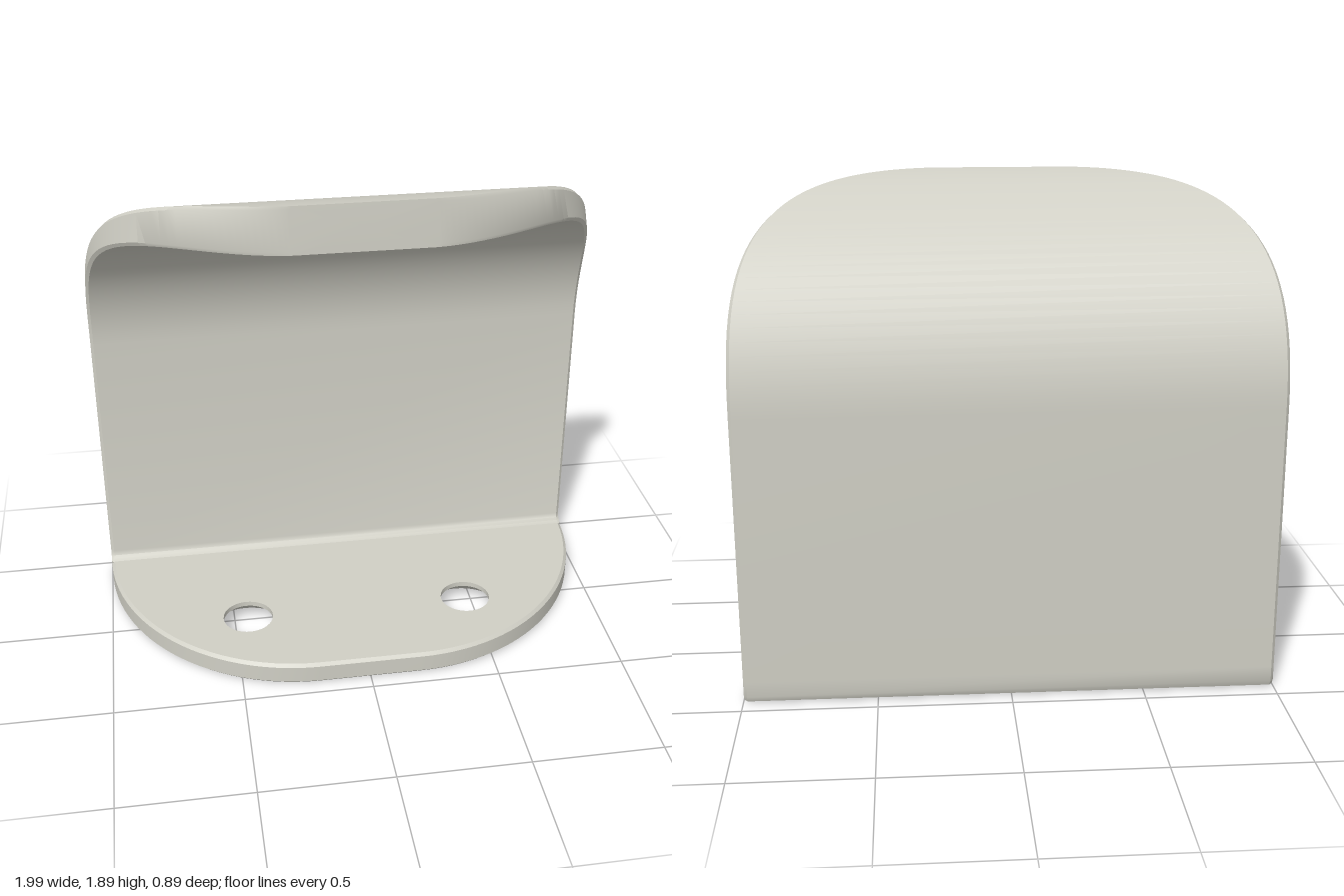
import * as THREE from 'three';
import { toCreasedNormals, mergeGeometries } from 'three/addons/utils/BufferGeometryUtils.js';

const BEVEL = 0.012;
const DEG = Math.PI / 180;

// Surface through rows of [x, y, z] points, with hard edges kept sharp
function loft(rows, closed) {
  const n = rows[0].length, index = [];
  for (let i = 0; i < rows.length - 1; i++) {
    for (let j = 0; j < (closed ? n : n - 1); j++) {
      const k = (j + 1) % n;
      const a = i * n + j, b = i * n + k, c = b + n, d = a + n;
      index.push(a, b, c, a, c, d);
    }
  }
  const g = new THREE.BufferGeometry();
  g.setAttribute('position', new THREE.Float32BufferAttribute(rows.flat(2), 3));
  g.setIndex(index);
  return toCreasedNormals(g, 0.6);
}

// Bevelled cross-section between inner and outer [z, y] points
function ring({ inner, outer, w }) {
  const f = Math.min(0.4, BEVEL / Math.hypot(outer[0] - inner[0], outer[1] - inner[1]));
  const s = w - BEVEL;
  return [[-s, 0], [s, 0], [w, f], [w, 1 - f], [s, 1], [-s, 1], [-w, 1 - f], [-w, f]].map(([x, t]) => [
    x,
    inner[1] + (outer[1] - inner[1]) * t,
    inner[0] + (outer[0] - inner[0]) * t,
  ]);
}

// Row collapsed to its centre, closing the end of a loft
function capRow(row) {
  const c = [0, 1, 2].map((k) => row.reduce((sum, p) => sum + p[k], 0) / row.length);
  return row.map(() => c);
}

// Upright back that thickens and curls forward into the hood
function backGeometry() {
  const stations = [
    { outer: [-0.42, 0], inner: [-0.4, 0], w: 0.99 },
    { outer: [-0.441, 0.009], inner: [-0.4, 0.009], w: 0.995 },
    { outer: [-0.45, 0.03], inner: [-0.4, 0.03], w: 0.997 },
    { outer: [-0.45, 0.088], inner: [-0.37, 0.088], w: 0.997 },
    { outer: [-0.45, 0.096], inner: [-0.39, 0.096], w: 0.997 },
    { outer: [-0.45, 0.105], inner: [-0.4, 0.105], w: 0.997 },
    { outer: [-0.45, 0.125], inner: [-0.405, 0.125], w: 0.997 },
  ];
  const steps = 40, p = 1.75;
  for (let i = 0; i <= steps; i++) {
    const t = 1 - (1 - i / steps) ** 2;
    const a = 82.8 * DEG * t, b = 95 * DEG * t;
    const outer = [0.35 - 0.8 * Math.cos(a), 1.1 + 0.8 * Math.sin(a)];
    const inner = [0.205 - 0.61 * Math.cos(b), 1.11 + 0.61 * Math.sin(b)];
    const u = THREE.MathUtils.clamp((outer[0] + 0.45) / 0.7, 0, 1);
    const w = 0.25 + 0.747 * (1 - u ** p) ** (1 / p);
    stations.push({ outer, inner, w });
  }
  const rows = stations.map(ring);
  return loft([capRow(rows[0]), ...rows, capRow(rows[rows.length - 1])], true);
}

// Rounded outline of the foot as [x, z], from the right side round the front
function footOutline(inset) {
  const pts = [], n = 28;
  for (const side of [-1, 1]) {
    for (let i = 0; i <= n; i++) {
      const a = (side < 0 ? 1 - i / n : i / n) * 90 * DEG;
      pts.push([
        side * (0.2 + (0.797 - inset) * Math.sin(a)),
        -0.41 + (0.855 - inset) * Math.cos(a),
      ]);
    }
  }
  return pts;
}

const HOLES = [[-0.45, 0.1], [0.45, 0.1]];
const FOOT_H = 0.09;

// Flat face of the foot with two round holes; up = 1 for top, -1 for underside
function footFace(up, holeRadius) {
  const shape = new THREE.Shape(footOutline(BEVEL).map(([x, z]) => new THREE.Vector2(x, -up * z)));
  for (const [x, z] of HOLES) {
    shape.holes.push(new THREE.Path().absarc(x, -up * z, holeRadius, 0, Math.PI * 2, true));
  }
  const g = new THREE.ShapeGeometry(shape, 20).rotateX(-up * Math.PI / 2);
  return g.translate(0, up > 0 ? FOOT_H : 0, 0);
}

function footGeometry() {
  const level = (y, inset) => footOutline(inset).map(([x, z]) => [x, y, z]);
  const rim = loft([
    level(0, BEVEL), level(BEVEL, 0), level(FOOT_H - BEVEL, 0), level(FOOT_H, BEVEL),
  ], false);
  const faces = [footFace(1, 0.1), footFace(-1, 0.18)].map((g) => {
    g.deleteAttribute('uv');
    return g.toNonIndexed();
  });
  return mergeGeometries([rim, ...faces]);
}

export function createModel() {
  const model = new THREE.Group();
  const material = new THREE.MeshStandardMaterial({ color: 0xd0cfc5, side: THREE.DoubleSide });
  material.name = 'warm grey';

  const add = (name, geometry) => {
    const mesh = new THREE.Mesh(geometry, material);
    mesh.name = name;
    model.add(mesh);
    return mesh;
  };

  add('backAndHood', backGeometry());
  add('foot', footGeometry());

  // Countersunk linings of the screw holes
  const lining = [[0.1, FOOT_H], [0.1, 0.07], [0.18, 0]].map(([r, y]) => new THREE.Vector2(r, y));
  HOLES.forEach(([x, z], i) => {
    const g = toCreasedNormals(new THREE.LatheGeometry(lining, 40), 0.6);
    add(i ? 'leftScrewHole' : 'rightScrewHole', g).position.set(x, 0, z);
  });
  return model;
}
